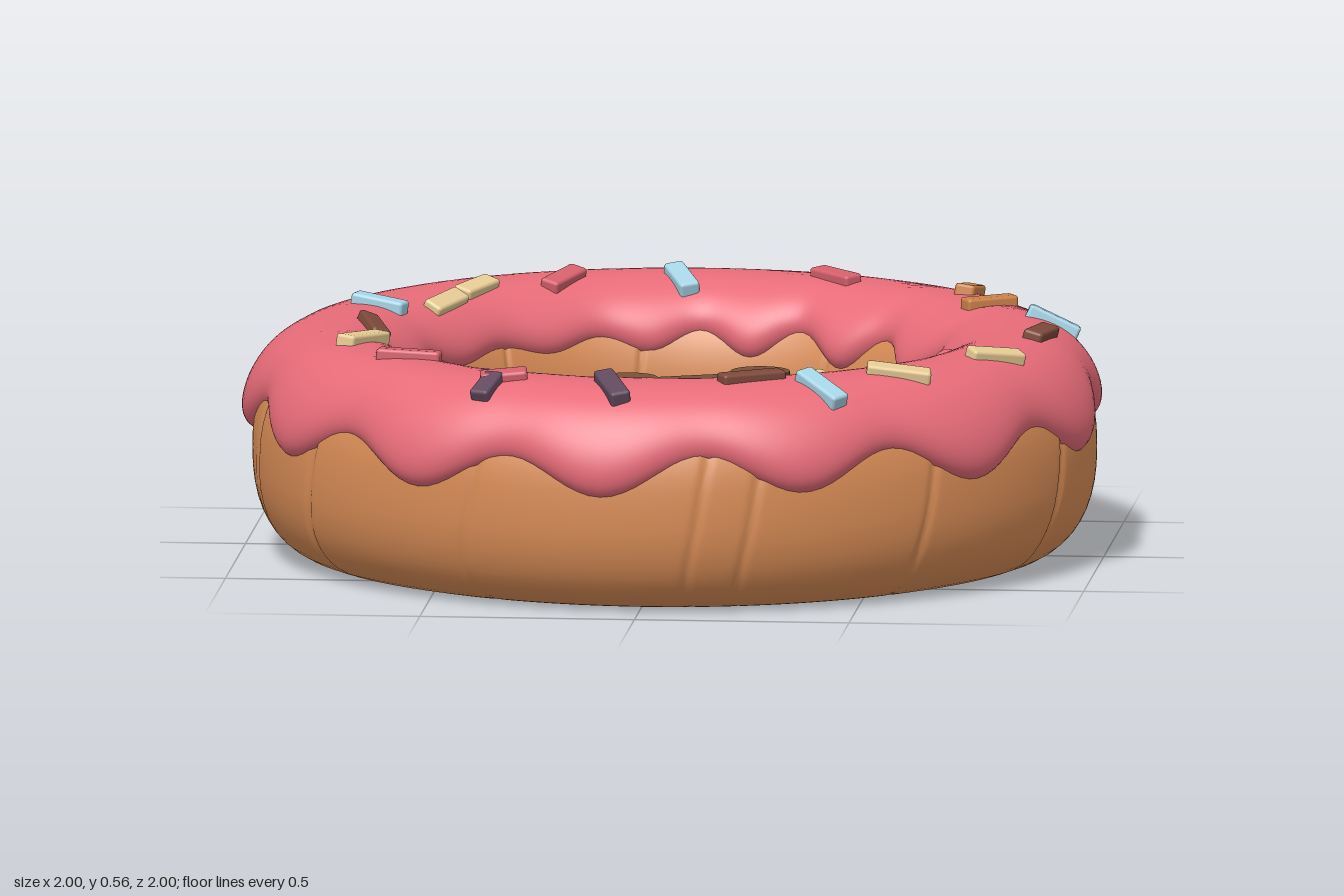
import * as THREE from 'three';
import { RoundedBoxGeometry } from 'three/addons/geometries/RoundedBoxGeometry.js';

const mat = (name, color) => {
  const m = new THREE.MeshStandardMaterial({ color });
  m.name = name;
  return m;
};

// Ring cross-section: a squarish ellipse, grown by d
const RC = 0.79, YC = 0.25, A = 0.19, B = 0.25, N = 2.35;
const spow = (v, p) => Math.sign(v) * Math.pow(Math.abs(v), p);
const section = (t, d) => [
  RC + (A + d) * spow(Math.cos(t), 2 / N),
  YC + (B + d) * spow(Math.sin(t), 2 / N),
];

// Smooth surface swept round the y axis; f(angle, v) gives [radius, height]
function sweep(nu, nv, f) {
  const pos = [], idx = [];
  for (let j = 0; j <= nv; j++) {
    for (let i = 0; i < nu; i++) {
      const a = (i / nu) * Math.PI * 2;
      const [r, y] = f(a, j / nv);
      pos.push(r * Math.sin(a), y, r * Math.cos(a));
    }
  }
  for (let j = 0; j < nv; j++) {
    for (let i = 0; i < nu; i++) {
      const k = (i + 1) % nu;
      const a = j * nu + i, b = j * nu + k, c = a + nu, d = b + nu;
      idx.push(a, b, d, a, d, c);
    }
  }
  const g = new THREE.BufferGeometry();
  g.setAttribute('position', new THREE.Float32BufferAttribute(pos, 3));
  g.setIndex(idx);
  g.computeVertexNormals();
  return g;
}

const angleGap = (a, b) => Math.abs(Math.atan2(Math.sin(a - b), Math.cos(a - b)));

// Height of the icing's top at radius r
const icingTop = (r) => {
  const q = Math.min(0.999, Math.abs(r - RC) / (A + 0.03));
  return YC + (B + 0.03) * Math.pow(1 - Math.pow(q, N), 1 / N);
};

export function createModel() {
  const group = new THREE.Group();
  const M = {
    dough: mat('dough brown', 0xd78b55),
    icing: mat('icing pink', 0xe86c79),
    cream: mat('cushion cream', 0xebcf97),
    bone: mat('bone brown', 0x7a5138),
    blue: mat('sprinkle blue', 0xa6d4e6),
    plum: mat('sprinkle plum', 0x62495e),
    cocoa: mat('sprinkle cocoa', 0x7e4a3c),
    rose: mat('sprinkle rose', 0xd5606c),
    caramel: mat('sprinkle caramel', 0xcb8148),
  };
  const add = (name, geo, material, parent = group) => {
    const m = new THREE.Mesh(geo, material);
    m.name = name;
    parent.add(m);
    return m;
  };

  // Dough ring with a few pinched creases
  const creases = [-2.9, -2.35, -1.9, -1.3, -0.95, -0.42, 0.15, 0.28, 0.75, 1.25, 1.7, 2.2, 2.65];
  add('doughRing', sweep(600, 48, (a, v) => {
    const t = Math.PI / 2 + v * Math.PI * 2 - Math.PI * 2;
    let d = 0.003 * Math.sin(5 * a + 1) * Math.cos(t);
    for (const c of creases) {
      const g = angleGap(a, c + 0.03 * Math.sin(2 * t)) / 0.01;
      d -= 0.007 * Math.exp(-g * g) * Math.abs(Math.cos(t));
    }
    const [r, y] = section(t, d);
    return [r, Math.max(0, y)];
  }), M.dough);

  // Underside: a gently bulging middle and a soft slope out to the ring
  add('base', sweep(72, 10, (a, v) => [0.612 * v, 0.055 + 0.03 * v * v]), M.dough);
  add('baseSlope', sweep(72, 8, (a, v) => [0.612 + 0.128 * v, 0.008 + 0.077 * (1 - v) ** 1.7]), M.dough);

  // Icing with scalloped drips outside and inside and a rolled rim
  const edgeAngle = (y) => Math.asin(spow((y - YC) / (B + 0.03), N / 2));
  add('icing', sweep(224, 48, (a, v) => {
    const outer = Math.cos(13 * (a + 0.08));
    const inner = Math.cos(15 * a + 0.8 * Math.sin(2 * a)) * (0.65 - 0.35 * Math.sin(2 * a));
    const t0 = edgeAngle(0.334 - 0.05 * outer + 0.006 * Math.sin(4 * a));
    const t1 = Math.PI - edgeAngle(0.4 - 0.042 * inner);
    const s = -Math.cos(v * Math.PI);
    const w = s < 0 ? outer : inner;
    const d = -0.015 + (0.045 + 0.01 * w * s * s) * Math.sqrt(1 - Math.pow(Math.abs(s), 10));
    return section(t0 + (t1 - t0) * (s + 1) / 2, d);
  }), M.icing);

  // Domed cushion with soft fold lines
  const folds = [[-0.55, -0.2, -0.1, -0.08], [0.27, -0.06, 0.58, -0.14]];
  const foldDepth = (x, z) => {
    let s = 0;
    for (const [x0, z0, x1, z1] of folds) {
      const dx = x1 - x0, dz = z1 - z0;
      const k = THREE.MathUtils.clamp(((x - x0) * dx + (z - z0) * dz) / (dx * dx + dz * dz), 0, 1);
      const e = Math.hypot(x - x0 - k * dx, z - z0 - k * dz) / 0.035;
      s += 0.011 * Math.exp(-e * e);
    }
    return s;
  };
  add('cushion', sweep(120, 40, (a, v) => {
    const r = 0.612 * Math.cos(v * Math.PI / 2);
    const y = 0.15 + 0.21 * Math.sqrt(1 - Math.pow(r / 0.6121, 3.8));
    return [r, y - foldDepth(r * Math.sin(a), r * Math.cos(a))];
  }), M.cream);

  // Bone toy: a bar with two lobes at each end
  const bone = new THREE.Group();
  bone.name = 'bone';
  const bar = add('boneBar', new THREE.BoxGeometry(0.3, 0.058, 0.095), M.bone, bone);
  bar.position.y = 0.001;
  for (const sx of [-1, 1]) {
    for (const sz of [-1, 1]) {
      const lobe = add('boneLobe', new THREE.CylinderGeometry(0.069, 0.069, 0.06, 28), M.bone, bone);
      lobe.position.set(sx * 0.16, 0, sz * 0.062);
    }
  }
  bone.position.set(0.063, 0.375, 0);
  bone.rotation.y = 0.38;
  group.add(bone);

  // Sprinkles lying on the icing: x, z, direction x, direction z, length, colour
  const sprinkles = [
    [-0.32, -0.65, 0.5, -1, 0.13, 'rose'], [-0.05, -0.71, 0.45, 1, 0.12, 'blue'],
    [0.31, -0.7, 1, 1.05, 0.14, 'rose'], [0.635, -0.56, 0.12, -1, 0.14, 'caramel'],
    [0.7, -0.36, 1, -0.6, 0.13, 'caramel'], [0.86, -0.23, 1, -0.1, 0.13, 'blue'],
    [0.855, 0.03, 0.2, -1, 0.15, 'cocoa'], [0.78, 0.35, 1, -0.65, 0.14, 'cream'],
    [0.58, 0.62, 1, -0.1, 0.15, 'cream'], [0.25, 0.76, 1, -0.6, 0.16, 'cocoa'],
    [0.415, 0.78, 1, 0.95, 0.14, 'blue'], [-0.065, 0.86, 0.4, 1, 0.14, 'plum'],
    [-0.325, 0.775, 1, -0.12, 0.11, 'rose'], [-0.36, 0.815, 0.45, -1, 0.09, 'plum'],
    [-0.57, 0.52, 1, 0.08, 0.15, 'rose'], [-0.7, 0.28, 0.45, -1, 0.18, 'cream'],
    [-0.7, 0.02, 0.35, 1, 0.16, 'cocoa'], [-0.71, -0.24, 1, 0.32, 0.13, 'blue'],
    [-0.57, -0.38, 0.4, -1, 0.14, 'cream'], [-0.51, -0.51, 0.5, -1, 0.13, 'cream'],
  ];
  for (const [x, z, dx, dz, len, colour] of sprinkles) {
    const r = Math.hypot(x, z);
    const slope = (icingTop(r + 0.02) - icingTop(r - 0.02)) / 0.04;
    const up = new THREE.Vector3(-slope * x / r, 1, -slope * z / r).normalize();
    const along = new THREE.Vector3(dx, 0, dz).projectOnPlane(up).normalize();
    const side = new THREE.Vector3().crossVectors(along, up);
    const s = add('sprinkle', new RoundedBoxGeometry(len, 0.04, 0.048, 2, 0.008), M[colour]);
    s.quaternion.setFromRotationMatrix(new THREE.Matrix4().makeBasis(along, up, side));
    s.position.set(x, icingTop(r), z).addScaledVector(up, -0.001);
  }

  // Decorations on the inner wall, facing the middle and leaning back
  const place = (mesh, x, y, z, lean, roll) => {
    mesh.position.set(x, y, z);
    mesh.rotation.set(-lean, Math.atan2(-x, -z), roll, 'YXZ');
  };
  for (const [x, z, roll] of [[0.61, 0.02, -0.2], [-0.258, 0.553, 0.2]]) {
    const drop = new RoundedBoxGeometry(0.15, 0.17, 0.075, 4, 0.036);
    place(add('candyDrop', drop, M.icing), x, 0.395, z, 0.5, roll);
  }
  const h = new THREE.Shape();
  h.moveTo(0, -0.075);
  h.lineTo(0.07, 0.005);
  h.bezierCurveTo(0.09, 0.05, 0.03, 0.09, 0, 0.035);
  h.bezierCurveTo(-0.03, 0.09, -0.09, 0.05, -0.07, 0.005);
  h.closePath();
  const heartGeo = new THREE.ExtrudeGeometry(h, { depth: 0.05, bevelEnabled: false, curveSegments: 8 });
  heartGeo.translate(0, 0, -0.025);
  place(add('heart', heartGeo, M.cream), 0.393, 0.435, 0.43, 0.5, 0.2);

  return group;
}
